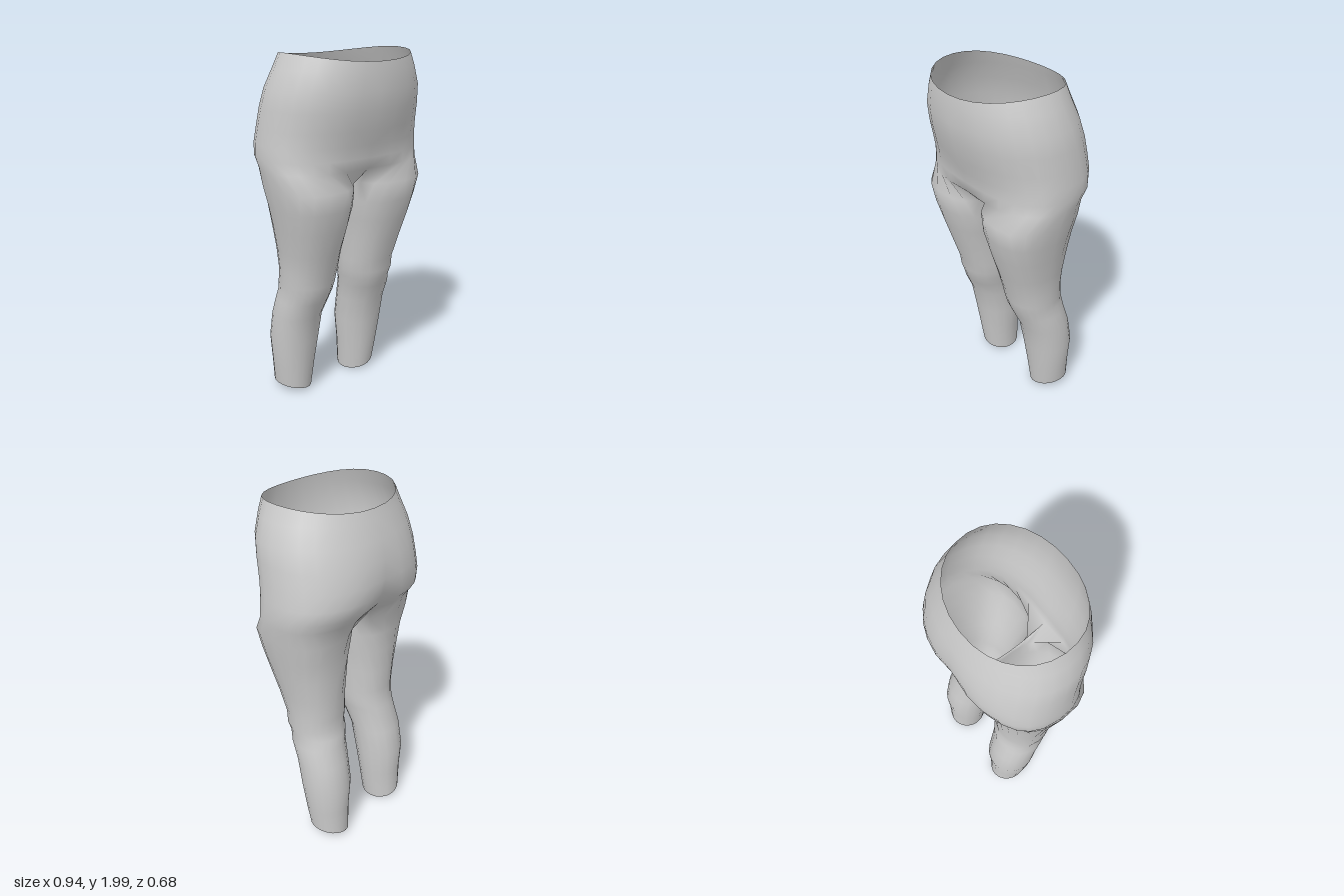
import * as THREE from 'three';
import { mergeVertices } from 'three/addons/utils/BufferGeometryUtils.js';

const OUTER = 14, INNER = 6; // segments round the outside and the inside of a leg

// Hip rings: y, half width, front z, back z, squareness, centre dent front, back
const HIPS = [
  [2.00, 0.36, 0.342, -0.25, 2.1, 0, 0],
  [1.92, 0.395, 0.345, -0.265, 2.1, 0, 0],
  [1.82, 0.435, 0.345, -0.30, 2.15, 0, 0],
  [1.72, 0.45, 0.328, -0.33, 2.2, 0, 0.02],
  [1.62, 0.46, 0.302, -0.345, 2.25, 0, 0.04],
  [1.54, 0.468, 0.275, -0.342, 2.4, 0, 0.07],
  [1.47, 0.472, 0.262, -0.322, 2.55, 0.01, 0.11],
  [1.41, 0.465, 0.26, -0.275, 2.6, 0.05, 0.15],
];

// Leg rings: y, inner x, outer x, front z, back z, squareness, seam angle
const LEGS = [
  [1.31, 0.003, 0.452, 0.265, -0.225, 2.5, 1.08],
  [1.20, 0.006, 0.43, 0.25, -0.207, 2.4, 0.9],
  [1.08, 0.025, 0.405, 0.218, -0.2, 2.3, 0.7],
  [0.94, 0.04, 0.378, 0.175, -0.195, 2.2, 0.55],
  [0.81, 0.045, 0.36, 0.135, -0.193, 2.15, 0.47],
  [0.74, 0.052, 0.366, 0.122, -0.192, 2.1, 0.47],
  [0.69, 0.06, 0.355, 0.108, -0.21, 2.1, 0.47],
  [0.63, 0.073, 0.368, 0.085, -0.217, 2.1, 0.47],
  [0.52, 0.09, 0.374, 0.035, -0.25, 2.1, 0.47],
  [0.36, 0.094, 0.377, 0.003, -0.28, 2.05, 0.47],
  [0.20, 0.112, 0.362, -0.022, -0.275, 2, 0.47],
  [0.035, 0.13, 0.345, -0.047, -0.28, 2, 0.47],
];

const power = (v, n) => Math.sign(v) * Math.pow(Math.abs(v), 2 / n);

// Point on a squared oval: angle 0 faces the front, PI / 2 the outside
function oval(t, x0, x1, front, back, n) {
  return [
    (x0 + x1) / 2 + (x1 - x0) / 2 * power(Math.sin(t), n),
    (front + back) / 2 + (front - back) / 2 * power(Math.cos(t), n),
  ];
}

// Half ring round the hips, from front centre to back centre
function hipRing([y, a, front, back, n, dentF, dentB], isWaist) {
  const ring = [];
  for (let j = 0; j <= OUTER; j++) {
    const t = Math.PI * j / OUTER;
    let [x, z] = oval(t, -a, a, front, back, n);
    if (j === 0 || j === OUTER) x = 0;
    z *= 1 - (z > 0 ? dentF : dentB) * Math.exp(-((x / 0.1) ** 2));
    const dip = isWaist ? 0.035 * Math.cos(t) ** 2 : 0;
    ring.push([x, y - dip, z]);
  }
  return ring;
}

// Closed ring round a leg, starting and ending at the front seam
function legRing([y, x0, x1, front, back, n, seam], isHem) {
  const ring = [];
  for (let j = 0; j <= OUTER + INNER; j++) {
    const t = j <= OUTER
      ? -seam + (Math.PI + 2 * seam) * j / OUTER
      : Math.PI + seam + (Math.PI - 2 * seam) * (j - OUTER) / INNER;
    const [x, z] = oval(t, x0, x1, front, back, n);
    ring.push([x, y + (isHem ? 0.025 * Math.sin(t) : 0), z]);
  }
  return ring;
}

// Skin between successive rings on both sides of the body
function addSkin(out, rings) {
  for (let i = 0; i < rings.length - 1; i++) {
    const top = rings[i], low = rings[i + 1];
    for (let j = 0; j < top.length - 1; j++) {
      const a = top[j], b = top[j + 1], c = low[j], d = low[j + 1];
      for (const p of [a, c, b, b, c, d]) out.push(...p);
      for (const [x, y, z] of [a, b, c, b, d, c]) out.push(-x, y, z);
    }
  }
}

export function createModel() {
  const group = new THREE.Group();
  group.name = 'trousers';

  const hips = HIPS.map((h, i) => hipRing(h, i === 0));

  // Crotch seam closes the lowest hip ring into the top of each leg
  const legTop = hips[hips.length - 1].slice();
  const back = legTop[OUTER], front = legTop[0];
  for (let k = 1; k <= INNER; k++) {
    const u = k / INNER;
    legTop.push(k === INNER ? front : [
      0,
      back[1] - 0.07 * Math.sin(Math.PI * u),
      back[2] + (front[2] - back[2]) * u,
    ]);
  }
  const legs = [legTop, ...LEGS.map((l, i) => legRing(l, i === LEGS.length - 1))];

  const positions = [];
  addSkin(positions, hips);
  addSkin(positions, legs);

  // Weld the shared seams so the cloth shades smoothly
  let geometry = new THREE.BufferGeometry();
  geometry.setAttribute('position', new THREE.Float32BufferAttribute(positions, 3));
  geometry = mergeVertices(geometry, 1e-4);
  geometry.computeVertexNormals();

  const cloth = new THREE.Mesh(geometry, new THREE.MeshStandardMaterial({
    color: 0xcccccc, side: THREE.DoubleSide,
  }));
  cloth.name = 'trouserCloth';
  group.add(cloth);
  return group;
}
